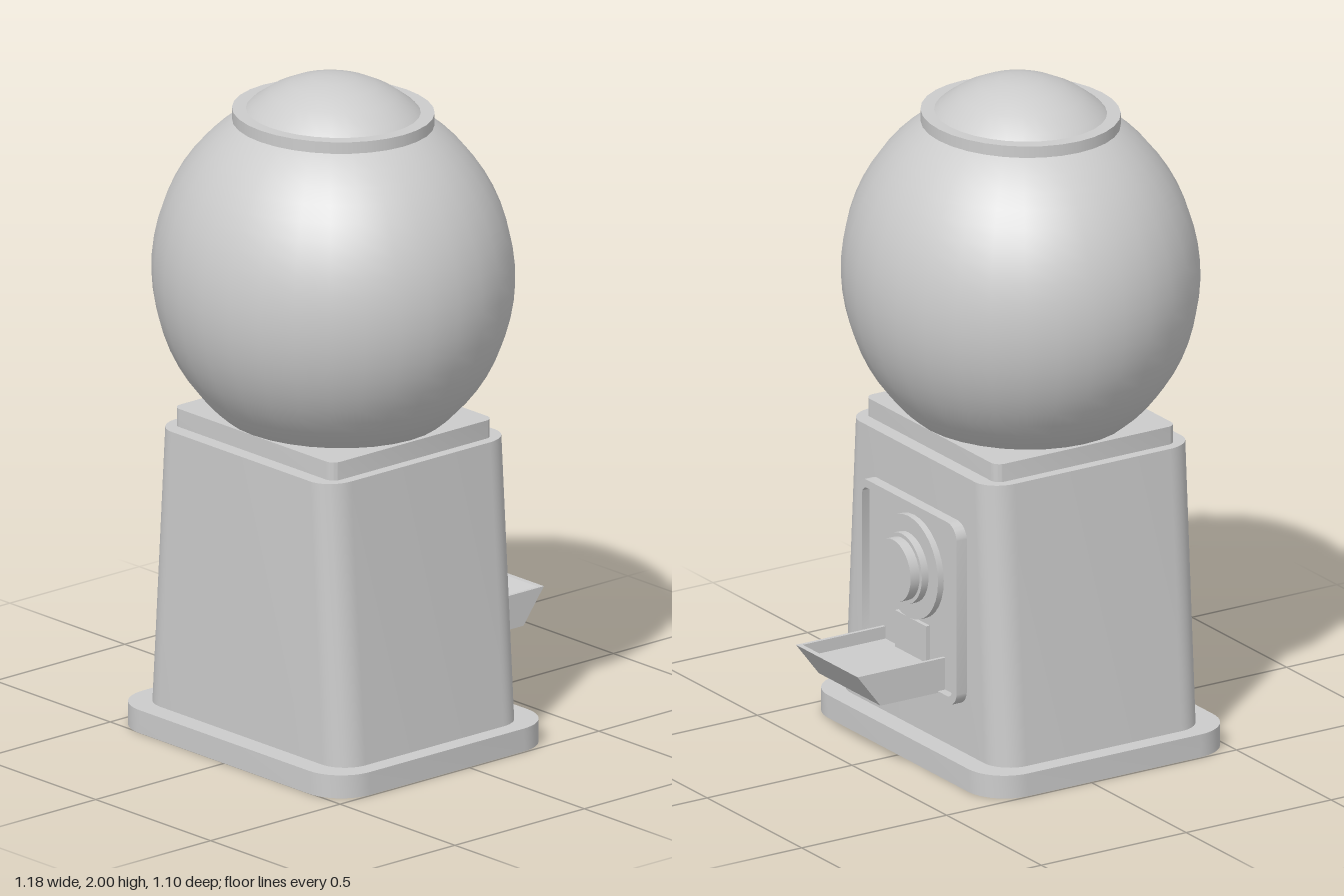
import * as THREE from 'three';
import { toCreasedNormals } from 'three/addons/utils/BufferGeometryUtils.js';

const CX = -0.082; // axis of the globe and cabinet
const material = new THREE.MeshStandardMaterial({ color: 0xcccccc });

function add(parent, name, geometry, x = 0, y = 0, z = 0) {
  const mesh = new THREE.Mesh(geometry, material);
  mesh.name = name;
  mesh.position.set(x, y, z);
  parent.add(mesh);
  return mesh;
}

// Rounded rectangle centred on the origin
function roundedRect(w, h, r, Type = THREE.Shape) {
  const s = new Type();
  const x = w / 2 - r, y = h / 2 - r;
  s.absarc(x, y, r, 0, Math.PI / 2);
  s.absarc(-x, y, r, Math.PI / 2, Math.PI);
  s.absarc(-x, -y, r, Math.PI, Math.PI * 1.5);
  s.absarc(x, -y, r, Math.PI * 1.5, Math.PI * 2);
  s.closePath();
  return s;
}

// Rounded rectangle with a hole that leaves a wall of thickness t
function roundedFrame(w, h, r, t) {
  const s = roundedRect(w, h, r);
  s.holes.push(roundedRect(w - 2 * t, h - 2 * t, r - t, THREE.Path));
  return s;
}

function extrude(shape, depth) {
  return new THREE.ExtrudeGeometry(shape, { depth, bevelEnabled: false, curveSegments: 6 });
}

// Horizontal rounded slab rising from y = 0; topScale narrows its depth
function slab(shape, height, topScale = 1) {
  const g = extrude(shape, height).rotateX(-Math.PI / 2);
  const p = g.attributes.position;
  for (let i = 0; i < p.count; i++) {
    p.setZ(i, p.getZ(i) * THREE.MathUtils.lerp(1, topScale, p.getY(i) / height));
  }
  return toCreasedNormals(g, 0.6);
}

// Flat prism with its profile in x and y, between two z values
function prism(points, z0, z1) {
  const shape = new THREE.Shape(points.map(([x, y]) => new THREE.Vector2(x, y)));
  return extrude(shape, z1 - z0).translate(0, 0, z0);
}

// Disc facing +x between two x values
function disc(r, x0, x1) {
  return new THREE.CylinderGeometry(r, r, x1 - x0, 32)
    .rotateZ(-Math.PI / 2).translate((x0 + x1) / 2, 0, 0);
}

export function createModel() {
  const model = new THREE.Group();
  model.name = 'gumballMachine';

  // Hollow base, open underneath: thin rim and top plate
  add(model, 'baseRim', slab(roundedFrame(0.845, 0.99, 0.125, 0.004), 0.066), CX);
  add(model, 'baseTop', slab(roundedRect(0.845, 0.99, 0.125), 0.004), CX, 0.066);

  // Cabinet
  add(model, 'cabinet', slab(roundedRect(0.714, 0.882, 0.09), 0.85, 0.863), CX, 0.07);
  add(model, 'neck', slab(roundedRect(0.623, 0.697, 0.03), 0.057), CX, 0.918);

  // Oval globe, cut off where the neck and lid meet it
  const globe = add(model, 'globe', new THREE.SphereGeometry(1, 32, 20, 0, Math.PI * 2, 0.5, 2.0), CX, 1.405);
  globe.scale.set(0.507, 0.545, 0.549);

  // Lid with a flat rim and a shallow dome rising through it
  const lid = new THREE.Group();
  lid.name = 'lid';
  lid.position.set(CX, 1.862, 0);
  lid.scale.set(0.923, 1, 1);
  model.add(lid);
  add(lid, 'lidRim', new THREE.CylinderGeometry(0.306, 0.306, 0.035, 32), 0, 0.0175);
  const domeRadius = 0.395;
  add(lid, 'lidDome',
    new THREE.SphereGeometry(domeRadius, 32, 5, 0, Math.PI * 2, 0, 0.85), 0, 0.138 - domeRadius);

  // Coin panel: raised frame around a recessed plate
  const panel = new THREE.Group();
  panel.name = 'coinPanel';
  panel.position.set(0, 0.495, 0);
  model.add(panel);
  add(panel, 'panelFrame',
    toCreasedNormals(extrude(roundedFrame(0.525, 0.56, 0.05, 0.025), 0.045).rotateY(Math.PI / 2), 0.6), 0.265);
  add(panel, 'panelPlate', extrude(roundedRect(0.5, 0.535, 0.04), 0.02).rotateY(Math.PI / 2), 0.265);

  // Stepped coin dial
  const dial = new THREE.Group();
  dial.name = 'coinDial';
  dial.position.set(0, 0.572, 0);
  model.add(dial);
  add(dial, 'dialPlate', disc(0.156, 0.27, 0.305));
  add(dial, 'dialCollar', disc(0.106, 0.29, 0.328));
  add(dial, 'dialKnob', disc(0.094, 0.32, 0.359));

  // Dispensing chute: filled tray with a slanted lip and two thin sides
  const chute = new THREE.Group();
  chute.name = 'chute';
  model.add(chute);
  add(chute, 'chuteOutlet', new THREE.BoxGeometry(0.03, 0.18, 0.165), 0.283, 0.322);
  add(chute, 'chuteTray', prism(
    [[0.27, 0.235], [0.508, 0.235], [0.587, 0.338], [0.57, 0.338], [0.541, 0.3], [0.27, 0.3]],
    -0.152, 0.152));
  const side = [[0.27, 0.235], [0.508, 0.235], [0.587, 0.338], [0.27, 0.338]];
  add(chute, 'chuteSideLeft', prism(side, -0.163, -0.152));
  add(chute, 'chuteSideRight', prism(side, 0.152, 0.163));

  return model;
}
